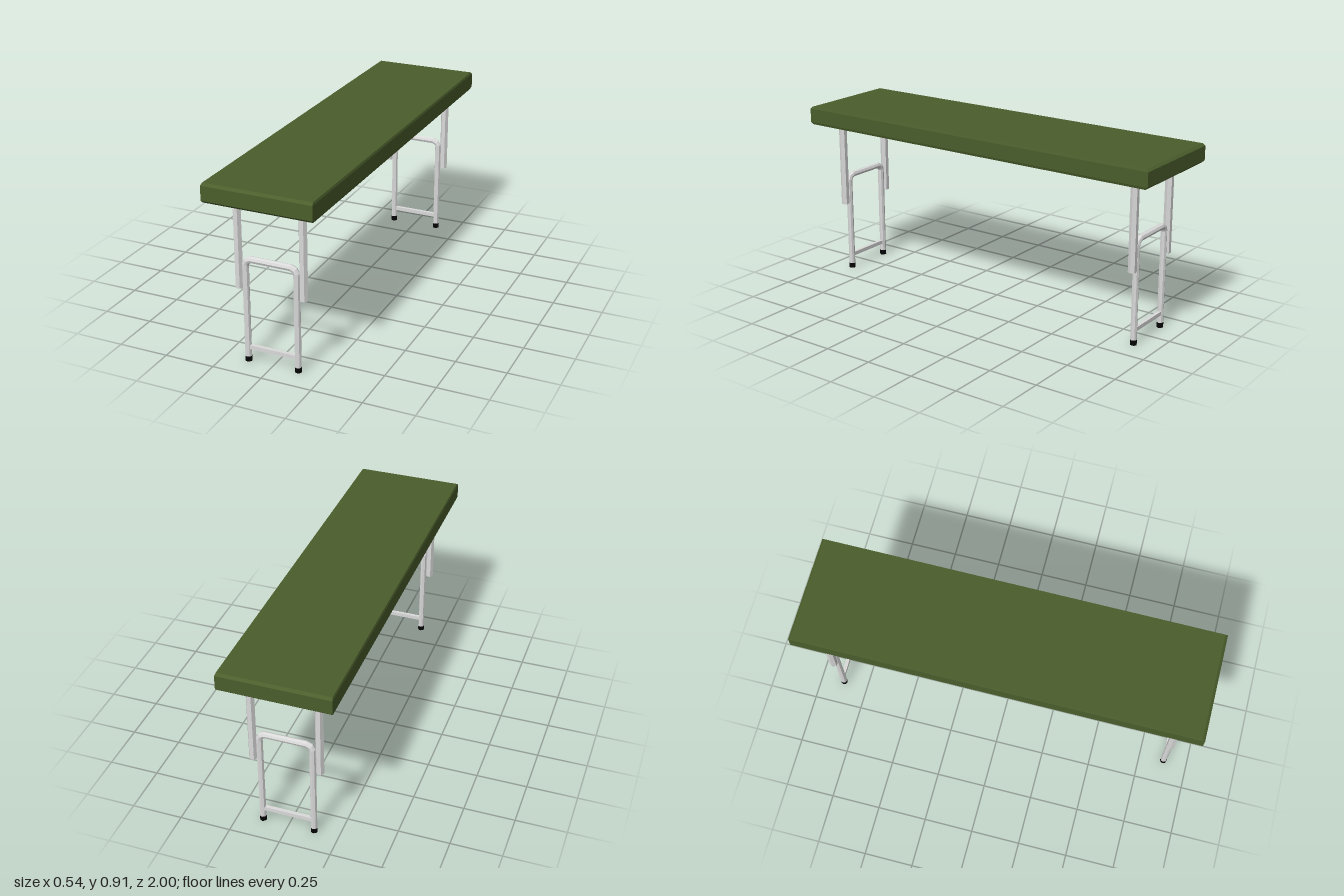
import * as THREE from 'three';

const green = new THREE.MeshStandardMaterial({ color: 0x4b5e2c, flatShading: true });
green.name = 'green top';
const metal = new THREE.MeshStandardMaterial({ color: 0xdadada, flatShading: true });
metal.name = 'light grey metal';
const rubber = new THREE.MeshStandardMaterial({ color: 0x040404, flatShading: true });
rubber.name = 'black rubber';

function add(parent, name, geometry, material, x = 0, y = 0, z = 0) {
  const mesh = new THREE.Mesh(geometry, material);
  mesh.name = name;
  mesh.position.set(x, y, z);
  parent.add(mesh);
}

// Joins equal-sized rings of points into a closed skin with end caps
function loft(rings) {
  const n = rings[0].length;
  const last = (rings.length - 1) * n;
  const index = [];
  for (let i = 0; i < rings.length - 1; i++) {
    for (let j = 0; j < n; j++) {
      const a = i * n + j, b = i * n + (j + 1) % n;
      index.push(a, a + n, b, b, a + n, b + n);
    }
  }
  for (let j = 1; j < n - 1; j++) {
    index.push(0, j, j + 1, last, last + j + 1, last + j);
  }
  const geometry = new THREE.BufferGeometry();
  geometry.setAttribute('position', new THREE.Float32BufferAttribute(rings.flat(2), 3));
  geometry.setIndex(index);
  const flat = geometry.toNonIndexed();
  flat.computeVertexNormals();
  return flat;
}

// Slab with chamfered top and bottom rims
function slab() {
  const levels = [[0.812, 1], [0.824, 0], [0.895, 0], [0.906, 1]];
  return loft(levels.map(([y, inset]) => {
    const x = 0.27 - 0.004 * inset, z = 1 - 0.013 * inset;
    return [[x, y, z], [-x, y, z], [-x, y, -z], [x, y, -z]];
  }));
}

// Tube of given sides swept along a path in the xy plane with mitred joints
function sweep(path, radius, sides) {
  const pts = path.map(([x, y]) => new THREE.Vector2(x, y));
  const dirs = pts.slice(1).map((p, i) => p.clone().sub(pts[i]).normalize());
  return loft(pts.map((p, i) => {
    const d1 = dirs[Math.max(i - 1, 0)], d2 = dirs[Math.min(i, dirs.length - 1)];
    const t = d1.clone().add(d2).normalize();
    const stretch = radius / t.dot(d1);
    return Array.from({ length: sides }, (_, k) => {
      const a = k / sides * Math.PI * 2;
      const c = Math.cos(a) * stretch;
      return [p.x - t.y * c, p.y + t.x * c, -Math.sin(a) * radius];
    });
  }));
}

// One leg frame: bent tube, crossbar, two upper legs and two rubber sleeves
function legFrame() {
  const frame = new THREE.Group();
  const half = [[0.128, 0], [0.128, 0.496], [0.119, 0.512], [0.1, 0.521]];
  const mirrored = half.map(([x, y]) => [-x, y]).reverse();
  add(frame, 'bentTube', sweep([...half, ...mirrored], 0.016, 8), metal);
  add(frame, 'crossbar', new THREE.BoxGeometry(0.236, 0.02, 0.018), metal, 0, 0.0745, 0);
  for (const side of [-1, 1]) {
    const upper = new THREE.CylinderGeometry(0.0205, 0.0205, 0.443, 6);
    upper.rotateY(Math.PI / 6);
    add(frame, 'upperLeg', upper, metal, side * 0.1625, 0.5935, 0);
    const foot = new THREE.CylinderGeometry(0.0168, 0.0168, 0.026, 8, 1, true);
    add(frame, 'foot', foot, rubber, side * 0.128, 0.013, 0);
  }
  return frame;
}

export function createModel() {
  const model = new THREE.Group();
  model.name = 'foldingTable';
  add(model, 'tabletop', slab(), green);
  for (const side of [-1, 1]) {
    const frame = legFrame();
    frame.name = side > 0 ? 'frontLegFrame' : 'backLegFrame';
    frame.position.z = side * 0.878;
    model.add(frame);
  }
  return model;
}
